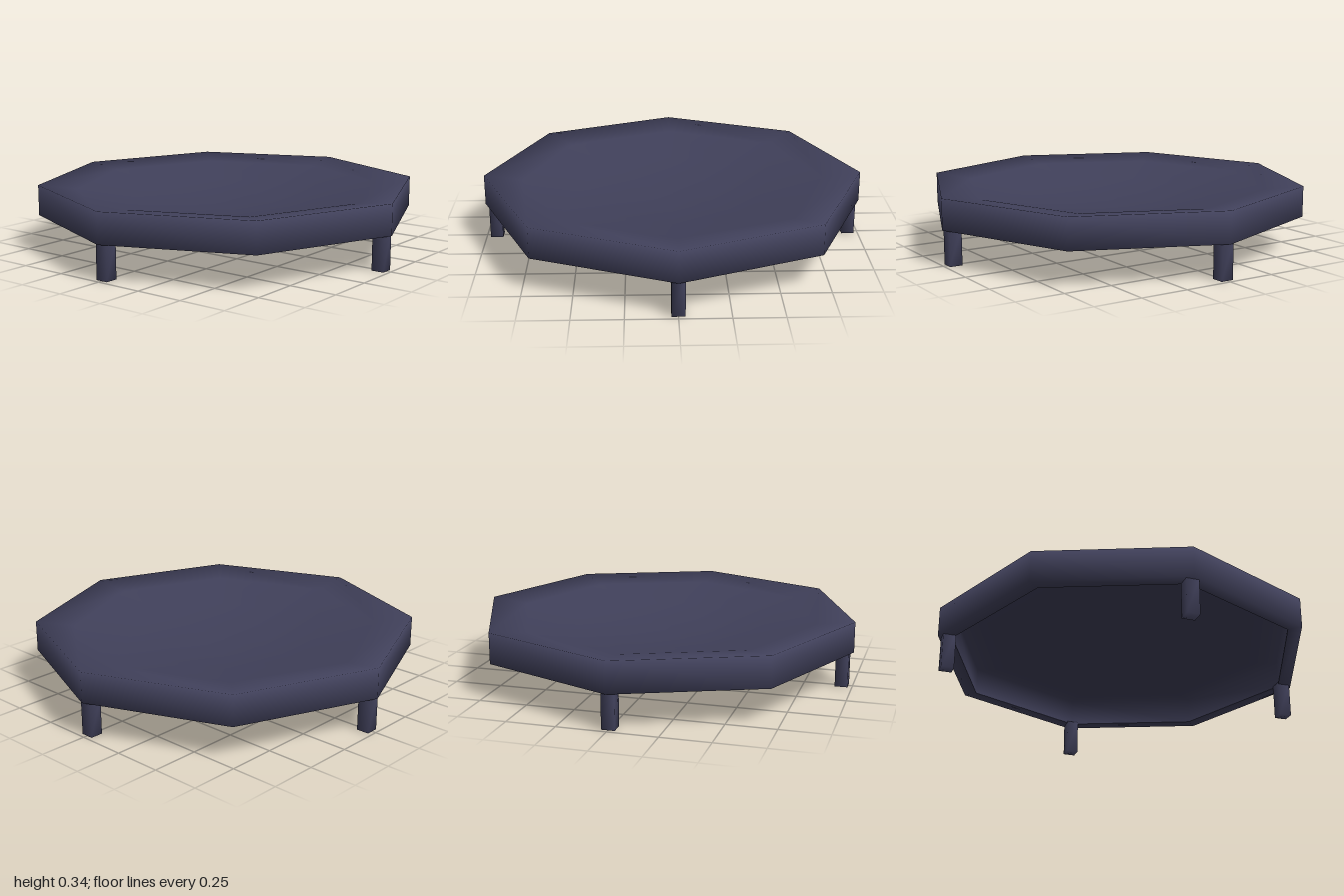
import * as THREE from 'three';
import { mergeVertices } from 'three/addons/utils/BufferGeometryUtils.js';

// Box with shared corners, so its shading is smooth
function smoothBox(w, h, d) {
  const g = new THREE.BoxGeometry(w, h, d);
  g.deleteAttribute('normal');
  g.deleteAttribute('uv');
  const merged = mergeVertices(g);
  merged.computeVertexNormals();
  return merged;
}

// Eight-sided part turned from [radius, height] pairs
function turned(name, pairs, material) {
  const points = pairs.map(([r, y]) => new THREE.Vector2(r, y));
  const mesh = new THREE.Mesh(new THREE.LatheGeometry(points, 8), material);
  mesh.name = name;
  return mesh;
}

export function createModel() {
  const model = new THREE.Group();
  model.name = 'octagonalTrampoline';
  const slate = new THREE.MeshStandardMaterial({ color: 0x40405a });
  slate.name = 'dark slate';

  // Sagging mat, outer wall and bottom lip in one smooth skin
  model.add(turned('matAndRim', [
    [0.925, 0.18], [1, 0.18], [1, 0.34],
    [0.8, 0.315], [0.5, 0.26], [0.25, 0.235], [0, 0.228],
  ], slate));

  // Hollow underside: follows the mat, then drops down the inner wall
  model.add(turned('underside', [
    [0, 0.215], [0.25, 0.222], [0.5, 0.247], [0.8, 0.302], [0.925, 0.325], [0.925, 0.18],
  ], slate));

  // Four square legs under alternate corners
  const legGeometry = smoothBox(0.066, 0.19, 0.066);
  for (let i = 0; i < 4; i++) {
    const a = (i * Math.PI) / 2;
    const leg = new THREE.Mesh(legGeometry, slate);
    leg.name = 'leg' + (i + 1);
    leg.position.set(0.945 * Math.sin(a), 0.095, 0.945 * Math.cos(a));
    model.add(leg);
  }
  return model;
}
